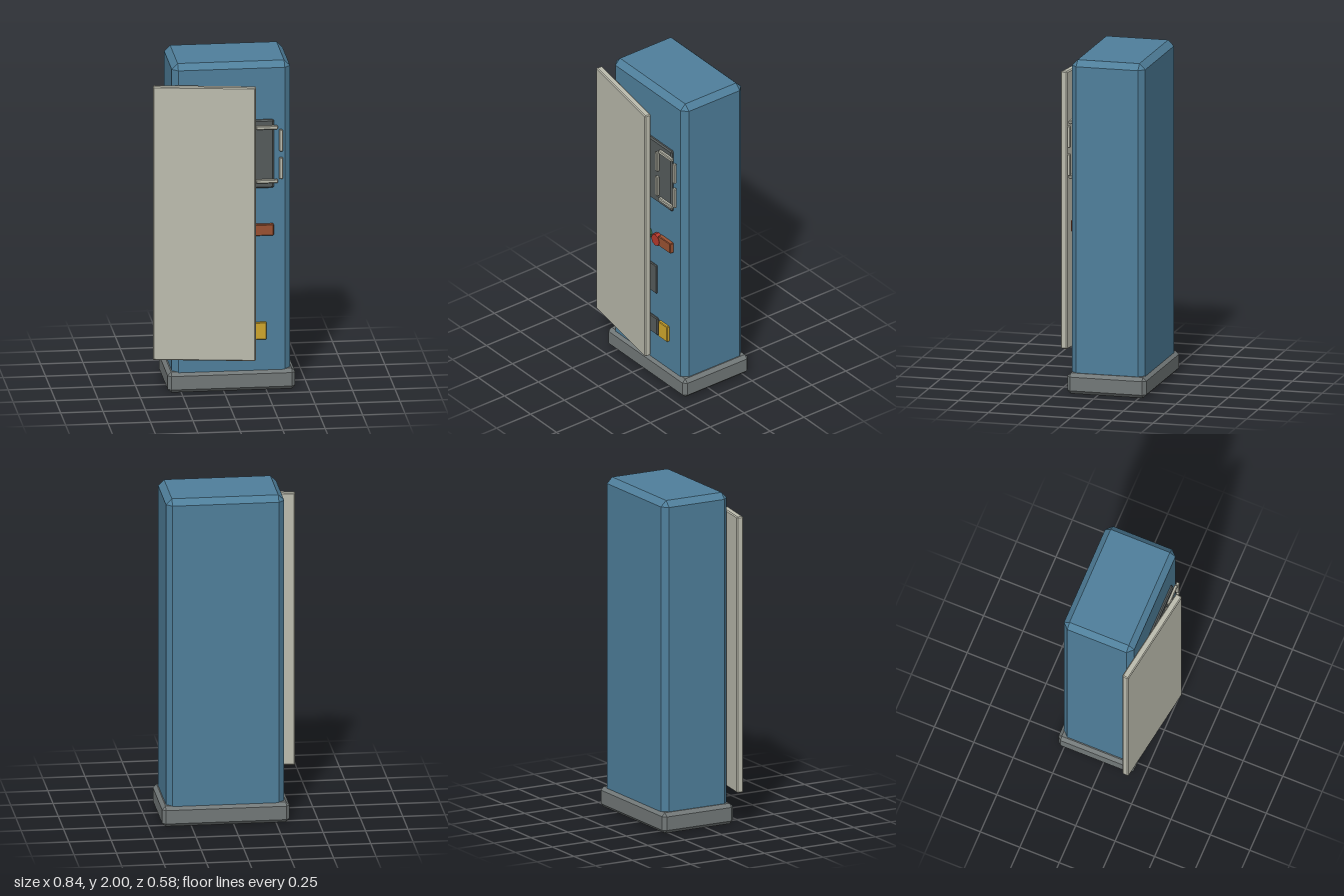
import * as THREE from 'three';
import { ConvexGeometry } from 'three/addons/geometries/ConvexGeometry.js';

const material = (color) => new THREE.MeshStandardMaterial({ color, flatShading: true });
const mats = {
  blue: material(0x4f7f9b),
  cream: material(0xbcbcae),
  grey: material(0x727878),
  dark: material(0x555b5b),
  yellow: material(0xd0a62c),
  brown: material(0x9a5232),
  red: material(0xb5392c),
  green: material(0x3f7d50),
};

// Box with every edge and corner cut at 45 degrees
function chamferBox(w, h, d, c) {
  const pts = [];
  for (const x of [-1, 1]) for (const y of [-1, 1]) for (const z of [-1, 1]) {
    const [X, Y, Z] = [x * w / 2, y * h / 2, z * d / 2];
    pts.push(
      new THREE.Vector3(X, Y - y * c, Z - z * c),
      new THREE.Vector3(X - x * c, Y, Z - z * c),
      new THREE.Vector3(X - x * c, Y - y * c, Z),
    );
  }
  return new ConvexGeometry(pts);
}

export function createModel() {
  const model = new THREE.Group();
  model.name = 'cabinet';

  function add(name, geometry, mat, x, y, z) {
    const mesh = new THREE.Mesh(geometry, mat);
    mesh.name = name;
    mesh.position.set(x, y, z);
    model.add(mesh);
    return mesh;
  }
  // Chamfered box given by its limits on each axis
  const block = (name, mat, [x0, x1], [y0, y1], [z0, z1], c) =>
    add(name, chamferBox(x1 - x0, y1 - y0, z1 - z0, c), mat,
      (x0 + x1) / 2, (y0 + y1) / 2, (z0 + z1) / 2);

  // Plinth and housing
  block('base', mats.grey, [-0.33, 0.422], [0, 0.124], [-0.293, 0.187], 0.021);
  block('housing', mats.blue, [-0.302, 0.395], [0.08, 2], [-0.275, 0.17], 0.035);

  // Door standing ajar
  const door = add('door', chamferBox(0.603, 1.67, 0.041, 0.006), mats.cream, -0.12, 1.045, 0.222);
  door.rotation.y = -0.158;

  // Display with raised segment bars
  block('displayPanel', mats.dark, [-0.2, 0.295], [1.235, 1.652], [0.152, 0.187], 0.008);
  const bar = (x, y, w, h) => block('displaySegment', mats.cream,
    [x - w / 2, x + w / 2], [y - h / 2, y + h / 2], [0.184, 0.204], 0.004);
  for (const x of [-0.075, 0.168, 0.335]) {
    for (const y of [1.358, 1.527]) bar(x, y, 0.022, 0.132);
  }
  for (const y of [1.28, 1.608]) bar(0.2525, y, 0.127, 0.022);

  // Row of control buttons with their plates
  for (const x of [-0.041, 0.234]) {
    block('controlPlate', mats.brown, [x - 0.059, x + 0.059], [0.947, 1.015], [0.155, 0.195], 0.004);
  }
  for (const [name, mat, x] of [['greenButton', mats.green, 0.048], ['redButton', mats.red, 0.153]]) {
    const geometry = new THREE.CylinderGeometry(0.038, 0.042, 0.04, 8);
    geometry.rotateX(Math.PI / 2);
    add(name, geometry, mat, x, 0.975, 0.178);
  }

  // Lower panel, tray and yellow tab
  block('lowerPanel', mats.dark, [-0.1, 0.14], [0.585, 0.78], [0.15, 0.18], 0.005);
  block('tray', mats.dark, [-0.05, 0.152], [0.305, 0.42], [0.15, 0.182], 0.005);
  block('yellowTab', mats.yellow, [0.165, 0.252], [0.31, 0.415], [0.155, 0.187], 0.004);

  return model;
}
